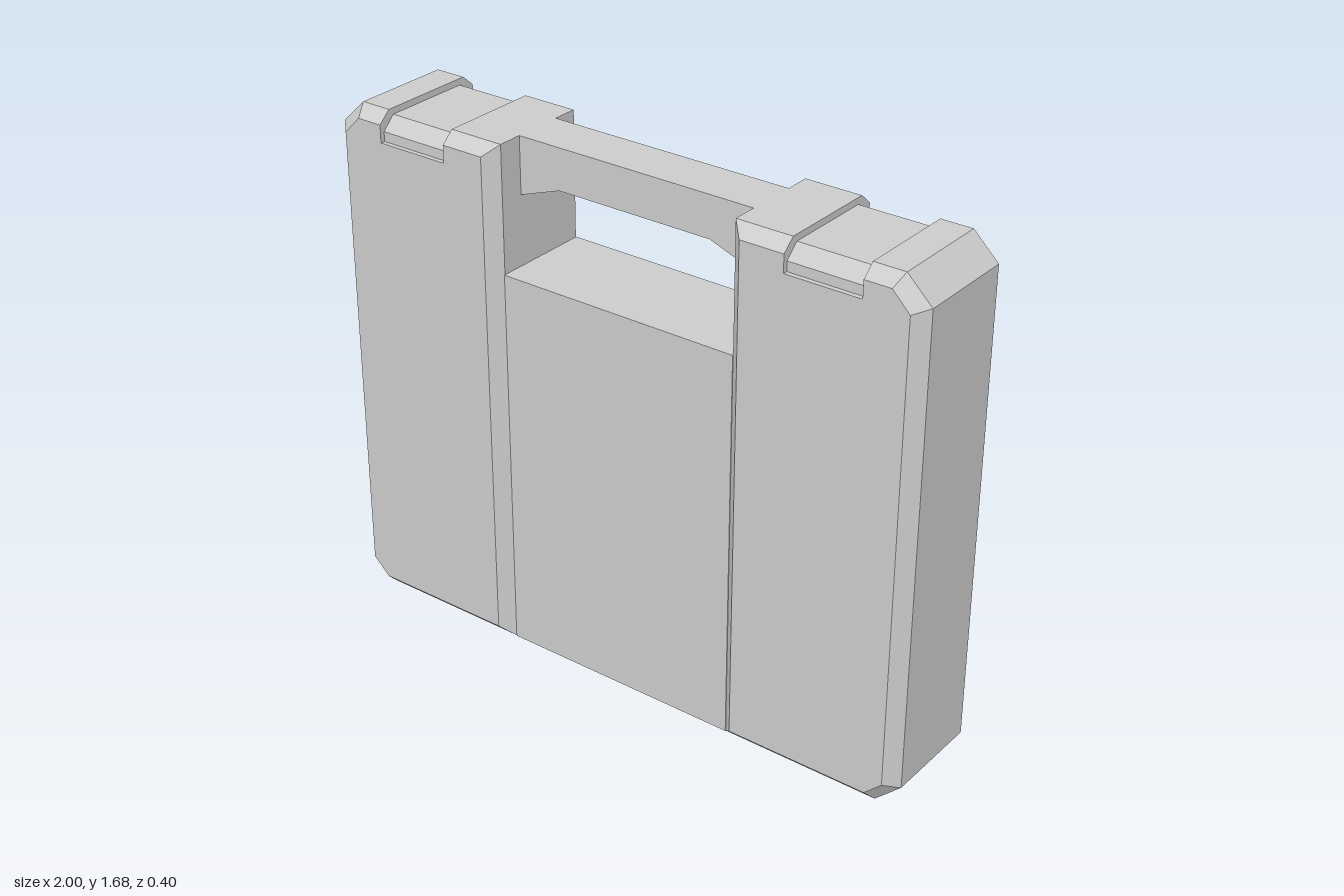
import * as THREE from 'three';
import { ConvexGeometry } from 'three/addons/geometries/ConvexGeometry.js';

const material = new THREE.MeshStandardMaterial({ color: 0xcccccc, flatShading: true });

function add(parent, name, geometry) {
  const mesh = new THREE.Mesh(geometry, material);
  mesh.name = name;
  parent.add(mesh);
  return mesh;
}

// Convex block: wide outline at |z| = 0.16, inset outline at |z| = 0.2
function bevelledBlock(side, outline, inset) {
  const points = [];
  for (const z of [-1, 1]) {
    for (const [x, y] of outline) points.push(new THREE.Vector3(side * x, y, z * 0.16));
    for (const [x, y] of inset) points.push(new THREE.Vector3(side * x, y, z * 0.2));
  }
  return new ConvexGeometry(points);
}

// Extrudes a mirrored (z, y) half profile along x, centred on the given x
function extrudeAlongX(halfProfile, length, centreX) {
  const mirrored = halfProfile.map(([z, y]) => [-z, y]).reverse();
  const shape = new THREE.Shape([...halfProfile, ...mirrored].map(([z, y]) => new THREE.Vector2(z, y)));
  return new THREE.ExtrudeGeometry(shape, { depth: length, bevelEnabled: false })
    .translate(0, 0, -length / 2)
    .rotateY(Math.PI / 2)
    .translate(centreX, 0, 0);
}

export function createModel() {
  const model = new THREE.Group();
  model.name = 'carryingCase';

  // Recessed middle panel
  add(model, 'centrePanel', new THREE.BoxGeometry(0.8, 1.245, 0.325).translate(0, 0.6575, 0));

  // Handle with sloped shoulders underneath
  const grip = new THREE.Shape([
    [-0.4, 1.5], [-0.26, 1.55], [0.26, 1.55], [0.4, 1.5], [0.4, 1.68], [-0.4, 1.68],
  ].map(([x, y]) => new THREE.Vector2(x, y)));
  add(model, 'handle', new THREE.ExtrudeGeometry(grip, { depth: 0.16, bevelEnabled: false })
    .translate(0, 0, -0.08));

  // Bevelled side pods, each split around a sunken latch band
  for (const side of [1, -1]) {
    const pod = new THREE.Group();
    pod.name = side > 0 ? 'leftPod' : 'rightPod';
    model.add(pod);

    add(pod, 'innerShell', bevelledBlock(side,
      [[0.4, 0.035], [0.58, 0.035], [0.58, 1.68], [0.4, 1.68]],
      [[0.44, 0.075], [0.58, 0.075], [0.58, 1.645], [0.44, 1.645]]));

    add(pod, 'outerShell', bevelledBlock(side,
      [[0.82, 0.035], [0.917, 0.035], [1, 0.113], [1, 1.603], [0.92, 1.68], [0.82, 1.68]],
      [[0.82, 0.075], [0.904, 0.075], [0.96, 0.128], [0.96, 1.588], [0.904, 1.645], [0.82, 1.645]]));

    add(pod, 'latchBand', extrudeAlongX([
      [0.16, 0.035], [0.2, 0.075], [0.2, 1.59], [0.185, 1.59], [0.185, 1.62], [0.143, 1.66],
    ], 0.24, side * 0.7));

    // Tapered feet
    for (const z of [-0.0925, 0.0925]) {
      const foot = add(pod, 'foot', extrudeAlongX([[0.018, 0], [0.038, 0.036]], 0.33, side * 0.66));
      foot.position.z = z;
    }
  }

  // Hinge rod along the underside
  add(model, 'hingeRod', new THREE.CylinderGeometry(0.017, 0.017, 1.76, 12)
    .rotateZ(Math.PI / 2).translate(0, 0.032, 0));

  return model;
}
